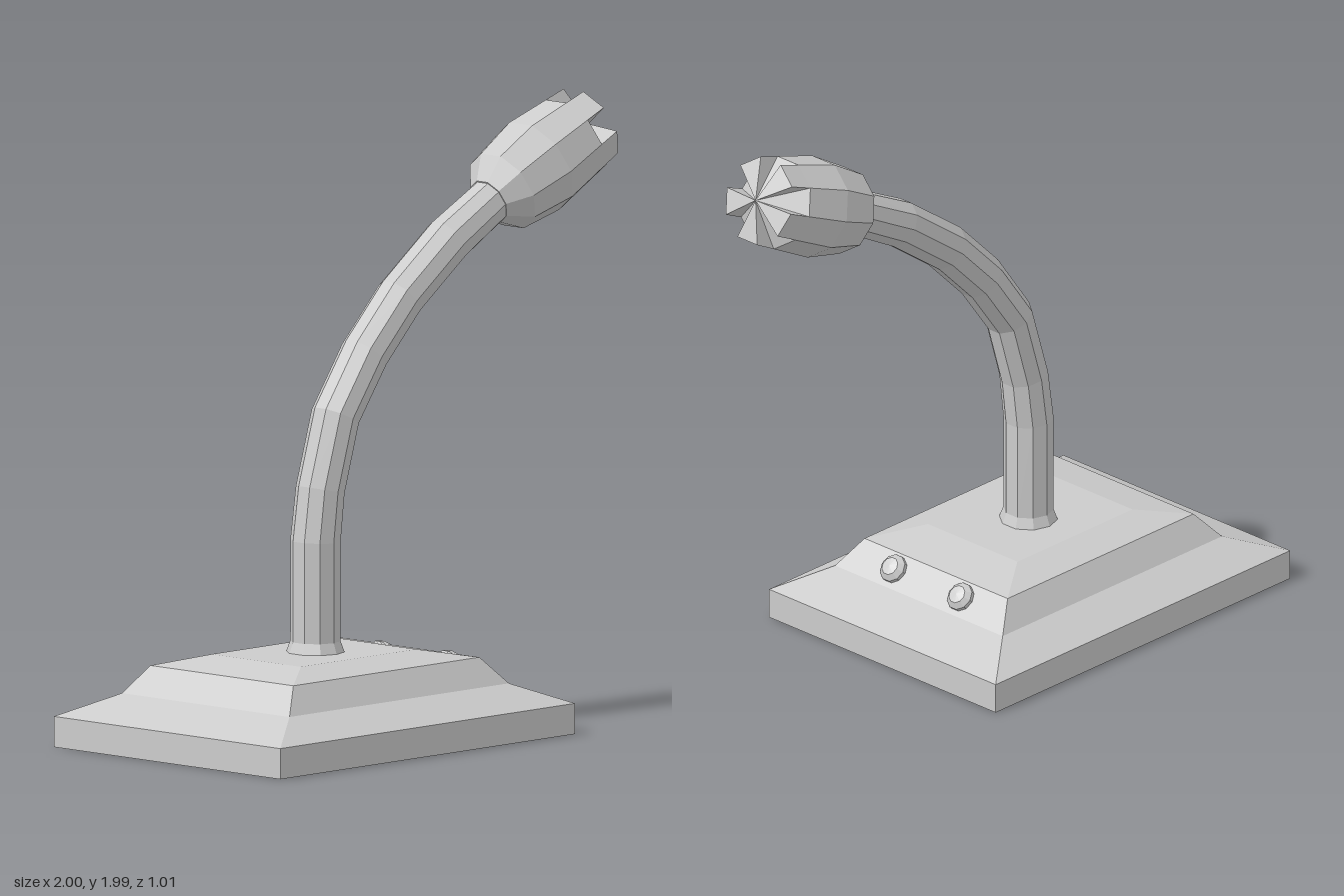
import * as THREE from 'three';

const SIDES = 10;
const material = new THREE.MeshStandardMaterial({ color: 0xcccccc, flatShading: true });

function makeMesh(name, triangles) {
  const geometry = new THREE.BufferGeometry().setFromPoints(triangles);
  geometry.computeVertexNormals();
  const mesh = new THREE.Mesh(geometry, material);
  mesh.name = name;
  return mesh;
}

const quad = (out, a, b, c, d) => out.push(a, b, c, a, c, d);

// Joins consecutive closed rings (counter-clockwise about the direction of travel)
function loft(out, rings) {
  for (let i = 0; i + 1 < rings.length; i++) {
    const lower = rings[i], upper = rings[i + 1], n = lower.length;
    for (let k = 0; k < n; k++) {
      const next = (k + 1) % n;
      quad(out, lower[k], lower[next], upper[next], upper[k]);
    }
  }
  return out;
}

// Ten-sided ring around (x, y, 0), facing along an angle in the xy plane
function ring(x, y, angle, radius) {
  return Array.from({ length: SIDES }, (_, k) => {
    const a = (k - 0.5) * Math.PI * 2 / SIDES;
    const up = Math.cos(a) * radius;
    return new THREE.Vector3(x - Math.sin(angle) * up, y + Math.cos(angle) * up, Math.sin(a) * radius);
  });
}

// Stepped rectangular base
function createBase() {
  const levels = [ // y, xMin, xMax, half depth
    [0, -1, 0.37, 0.507], [0.1, -1, 0.37, 0.507], [0.17, -0.82, 0.2, 0.375],
    [0.258, -0.745, 0.12, 0.32], [0.29, -0.585, -0.05, 0.2],
  ];
  const rings = levels.map(([y, x0, x1, z]) =>
    [[x0, z], [x1, z], [x1, -z], [x0, -z]].map(([x, zz]) => new THREE.Vector3(x, y, zz)));
  const out = loft([], rings);
  const top = rings[rings.length - 1], bottom = rings[0];
  quad(out, ...top);
  quad(out, bottom[3], bottom[2], bottom[1], bottom[0]);
  return makeMesh('base', out);
}

// Curved stem with a flared foot
function createStem() {
  const path = [ // x, y, radius
    [-0.31, 0.27, 0.097], [-0.31, 0.29, 0.095], [-0.31, 0.325, 0.082], [-0.31, 0.65, 0.082],
    [-0.288, 0.815, 0.08], [-0.218, 1.047, 0.08], [-0.083, 1.235, 0.08],
    [0.08, 1.4, 0.08], [0.3, 1.562, 0.08], [0.51, 1.676, 0.075],
  ];
  const rings = path.map(([x, y, r], i) => {
    const a = path[Math.max(i - 1, 0)], b = path[Math.min(i + 1, path.length - 1)];
    return ring(x, y, Math.atan2(b[1] - a[1], b[0] - a[0]), r);
  });
  return makeMesh('stem', loft([], rings));
}

// Bulging head whose end is cut into five wedge-shaped teeth
function createHead() {
  const angle = 0.412, x0 = 0.495, y0 = 1.67;
  const at = (t) => [x0 + Math.cos(angle) * t, y0 + Math.sin(angle) * t];
  const profile = [[0, 0.078], [0.07, 0.141], [0.232, 0.165], [0.405, 0.15], [0.49, 0.143]];
  const rings = profile.map(([t, r]) => ring(...at(t), angle, r));
  const tips = rings.pop();
  const roots = rings[rings.length - 1];
  const apex = new THREE.Vector3(...at(0.507), 0);
  const out = loft([], rings);
  for (let k = 0; k < SIDES; k++) {
    const n = (k + 1) % SIDES;
    if (k % 2 === 0) {
      out.push(roots[k], roots[n], apex); // notch floor
    } else {
      quad(out, roots[k], roots[n], tips[n], tips[k]); // tooth outside
      out.push(tips[k], tips[n], apex); // tooth end
      out.push(roots[k], tips[k], apex, tips[n], roots[n], apex); // tooth walls
    }
  }
  // Closing face around the stem
  const start = new THREE.Vector3(x0, y0, 0);
  rings[0].forEach((p, k) => out.push(rings[0][(k + 1) % SIDES], p, start));
  return makeMesh('head', out);
}

// Domed button seated on the sloping end of the base
function createButton(side) {
  const profile = [[0.047, -0.01], [0.047, 0.014], [0.03, 0.03], [0, 0.034]]
    .map(([r, y]) => new THREE.Vector2(r, y));
  const button = new THREE.Mesh(new THREE.LatheGeometry(profile, 10), material);
  button.name = side > 0 ? 'leftButton' : 'rightButton';
  button.position.set(0.157, 0.217, side * 0.15);
  button.rotation.z = -Math.atan2(0.088, 0.08);
  return button;
}

export function createModel() {
  const model = new THREE.Group();
  model.name = 'deskMicrophone';
  model.add(createBase(), createStem(), createHead(), createButton(1), createButton(-1));
  return model;
}
